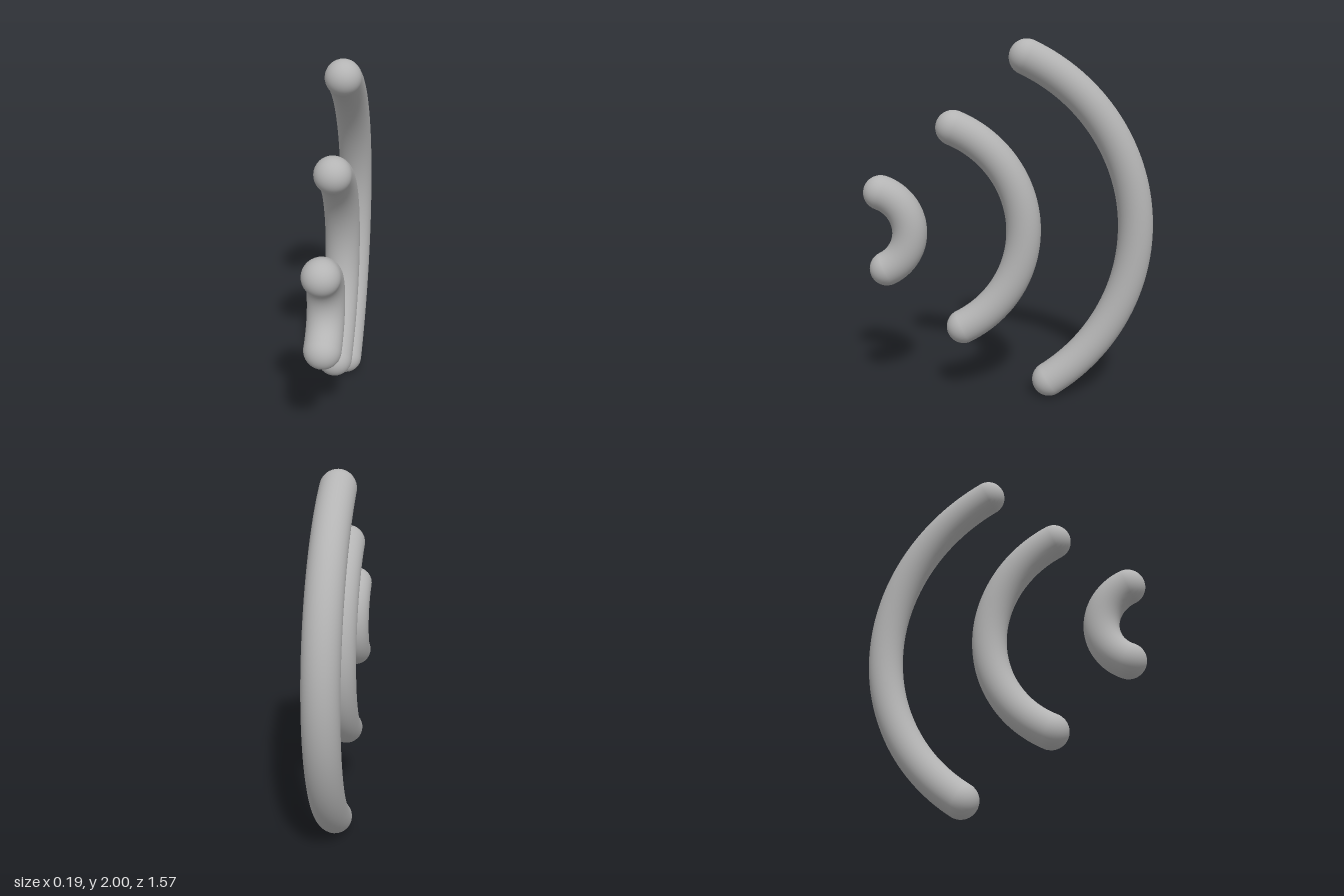
import * as THREE from 'three';

const TUBE = 0.095;

// Circular arc in the yz plane, bulging towards -z
class ArcCurve extends THREE.Curve {
  constructor(cy, cz, r, a0, a1) {
    super();
    Object.assign(this, { cy, cz, r, a0, a1 });
  }
  getPoint(t, target = new THREE.Vector3()) {
    const a = this.a0 + (this.a1 - this.a0) * t;
    return target.set(0, this.cy + this.r * Math.sin(a), this.cz - this.r * Math.cos(a));
  }
}

// One curved bar: tube plus a rounded cap at each end
function makeBar(name, { cy, cz, r, bottom, top }, material) {
  const bar = new THREE.Group();
  bar.name = name;
  const angle = ([y, z]) => Math.atan2(y - cy, cz - z);
  const curve = new ArcCurve(cy, cz, r, angle(bottom), angle(top));

  const tube = new THREE.Mesh(new THREE.TubeGeometry(curve, 64, TUBE, 32), material);
  tube.name = name + 'Tube';
  bar.add(tube);

  const capGeometry = new THREE.SphereGeometry(TUBE, 32, 12, 0, Math.PI * 2, 0, Math.PI / 2);
  for (const [end, t, tilt] of [['Bottom', 0, curve.a0 + Math.PI], ['Top', 1, curve.a1]]) {
    const cap = new THREE.Mesh(capGeometry, material);
    cap.name = name + end + 'Cap';
    cap.position.copy(curve.getPoint(t));
    cap.rotation.x = tilt;
    bar.add(cap);
  }
  return bar;
}

export function createModel() {
  const model = new THREE.Group();
  model.name = 'signalWaves';
  const grey = new THREE.MeshStandardMaterial({ color: 0xb4b4b4 });
  grey.name = 'grey';

  // Arc centres, radii and end points given as [y, z]
  const bars = {
    smallArc: { cy: 0.968, cz: 0.777, r: 0.232, bottom: [0.76, 0.675], top: [1.185, 0.695] },
    middleArc: { cy: 0.9675, cz: 0.539, r: 0.616, bottom: [0.42, 0.257], top: [1.535, 0.3] },
    largeArc: { cy: 0.964, cz: 0.348, r: 1.038, bottom: [0.096, -0.225], top: [1.905, -0.09] },
  };
  for (const [name, spec] of Object.entries(bars)) model.add(makeBar(name, spec, grey));
  return model;
}
